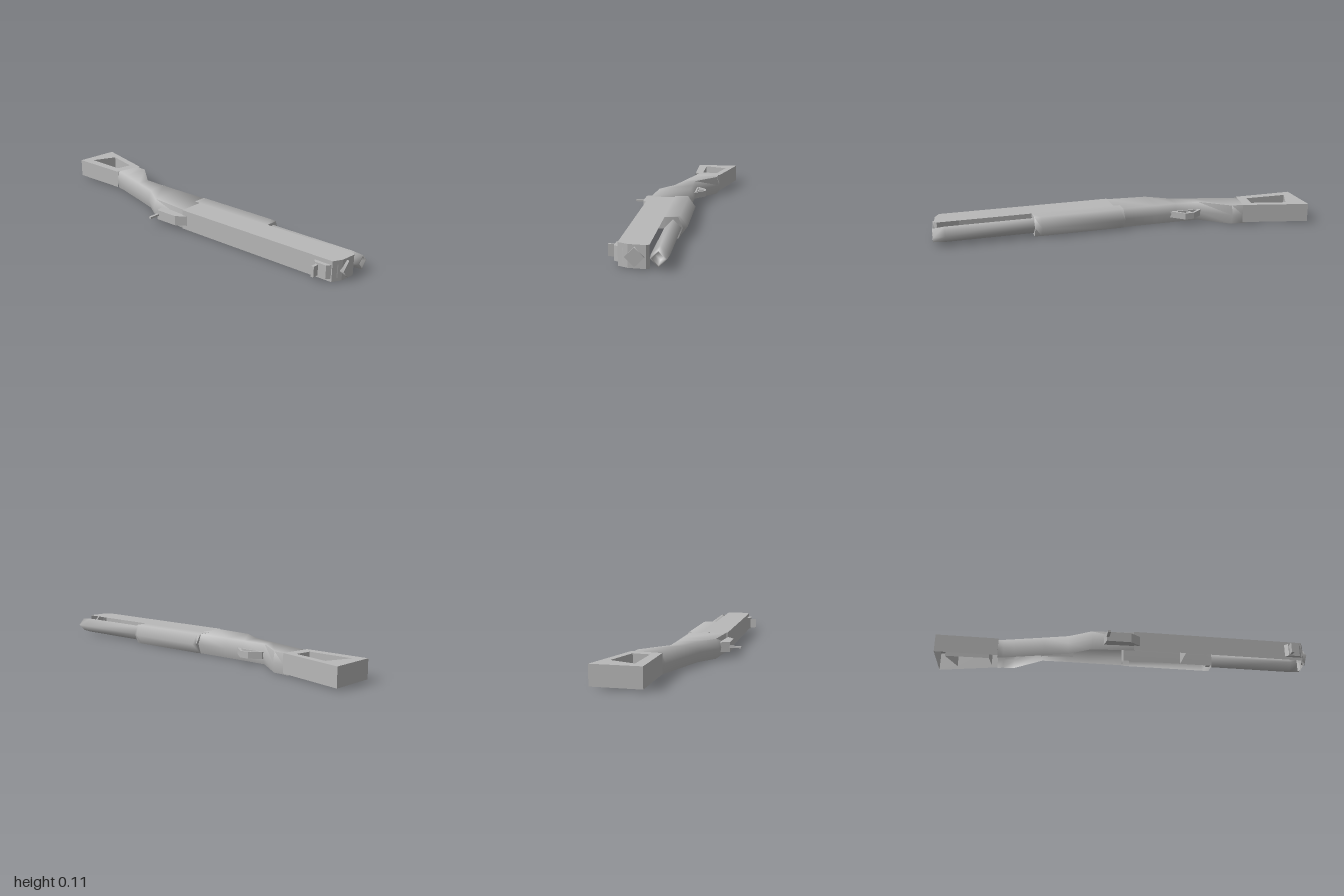
import * as THREE from 'three';
import { toCreasedNormals } from 'three/addons/utils/BufferGeometryUtils.js';

const MID = 0.055; // height of the centre plane: the gun lies on its side

export function createModel() {
  const grey = new THREE.MeshStandardMaterial({ color: 0xb8b8b8, side: THREE.DoubleSide });
  grey.name = 'plain grey';
  const group = new THREE.Group();

  const add = (name, geometry) => {
    const mesh = new THREE.Mesh(geometry, grey);
    mesh.name = name;
    group.add(mesh);
    return mesh;
  };

  const makeShape = (outline, hole) => {
    const flip = pts => pts.map(([x, z]) => new THREE.Vector2(x, -z));
    const shape = new THREE.Shape(flip(outline));
    if (hole) shape.holes.push(new THREE.Path(flip(hole)));
    return shape;
  };

  // Solid outline in x,z raised from y0 to y1
  const plate = (outline, y0, y1, hole) =>
    new THREE.ExtrudeGeometry(makeShape(outline, hole), { depth: y1 - y0, bevelEnabled: false })
      .rotateX(-Math.PI / 2).translate(0, y0, 0);

  // Flat sheet at height y
  const sheet = (outline, y, hole) =>
    new THREE.ShapeGeometry(makeShape(outline, hole)).rotateX(-Math.PI / 2).translate(0, y, 0);

  // Upright walls along a path in x,z
  const walls = (path, y0, y1) => {
    const pos = [];
    for (let i = 0; i < path.length - 1; i++) {
      const [ax, az] = path[i], [bx, bz] = path[i + 1];
      pos.push(ax, y0, az, ax, y1, az, bx, y1, bz, ax, y0, az, bx, y1, bz, bx, y0, bz);
    }
    const g = new THREE.BufferGeometry();
    g.setAttribute('position', new THREE.Float32BufferAttribute(pos, 3));
    g.computeVertexNormals();
    return g;
  };

  // Six-sided sections along x, open underneath;
  // each station is x, low z, high z, low bevel, high bevel
  const loft = (stations, top, capped) => {
    const bottom = 0.003, pos = [], index = [];
    for (const [x, a, b, ba, bb] of stations) {
      pos.push(x, MID, a, x, top, a + ba, x, top, b - bb,
        x, MID, b, x, bottom, b - bb, x, bottom, a + ba);
    }
    const last = (stations.length - 1) * 6;
    for (let s = 0; s < last; s += 6) {
      for (const j of [0, 1, 2, 3, 5]) {
        const k = (j + 1) % 6;
        index.push(s + j, s + k, s + 6 + k, s + j, s + 6 + k, s + 6 + j);
      }
    }
    for (let j = 1; capped && j < 5; j++) {
      index.push(0, j + 1, j, last, last + j, last + j + 1);
    }
    const g = new THREE.BufferGeometry();
    g.setAttribute('position', new THREE.Float32BufferAttribute(pos, 3));
    g.setIndex(index);
    return toCreasedNormals(g, 1.35);
  };

  // Skeleton butt with its opening, hollow underneath
  const butt = [[-0.987, -0.265], [-0.64, -0.176], [-0.67, -0.022], [-1, -0.022]];
  const buttHole = [[-0.885, -0.2], [-0.7, -0.153], [-0.715, -0.067], [-0.945, -0.072]];
  add('buttTop', sheet(butt, 0.109, buttHole));
  add('buttWalls', walls([...butt.slice(2), ...butt.slice(0, 2)], 0.011, 0.109));
  add('buttOpening', walls([...buttHole, buttHole[0]], 0.011, 0.109));

  // Grip flowing into the receiver
  add('gripAndReceiver', loft([
    [-0.67, -0.182, -0.021, 0.01, 0.012],
    [-0.64, -0.176, -0.015, 0.01, 0.015],
    [-0.58, -0.174, 0.003, 0.012, 0.016],
    [-0.43, -0.058, 0.045, 0.018, 0.016],
    [-0.3, -0.055, 0.083, 0.018, 0.016],
    [-0.185, -0.055, 0.157, 0.018, 0.016],
    [0.04, -0.055, 0.163, 0.018, 0.004],
  ], 0.107, false));

  // Sliding fore-end
  add('foreEnd', loft([
    [0, -0.075, 0.03, 0.035, 0.001],
    [0.02, -0.082, 0.03, 0.038, 0.001],
    [0.45, -0.082, 0.03, 0.038, 0.001],
    [0.485, -0.062, 0.03, 0.022, 0.001],
  ], 0.1075, true));

  // Long upper housing: a shell open underneath and along its low side
  const housing = [[0.975, 0.026], [0.985, 0.04], [0.975, 0.12], [0.95, 0.166], [0.035, 0.166], [0.035, 0.026]];
  add('housingTop', sheet(housing, 0.108));
  add('housingWalls', walls(housing.slice(0, 5), 0.004, 0.108));
  add('housingBulkhead', walls([[0.31, 0.026], [0.31, 0.166]], 0.004, 0.108));

  const muzzle = add('muzzlePlug', new THREE.CylinderGeometry(0.043, 0.043, 0.02, 4));
  muzzle.rotation.z = -Math.PI / 2;
  muzzle.position.set(0.98, MID, 0.09);

  // Four-sided hollow lower tube
  const profile = [[0.041, 0.46], [0.041, 0.94], [0.036, 1], [0.028, 1], [0.026, 0.93], [0, 0.93]]
    .map(([r, y]) => new THREE.Vector2(r, y));
  const tube = add('lowerTube', toCreasedNormals(new THREE.LatheGeometry(profile, 4), 1.62));
  tube.rotation.z = -Math.PI / 2;
  tube.position.set(0, MID, -0.014);

  // Trigger guard and trigger
  add('triggerGuard', plate(
    [[-0.44, -0.05], [-0.435, -0.068], [-0.38, -0.11], [-0.33, -0.11], [-0.265, -0.05]], 0.036, 0.07,
    [[-0.42, -0.06], [-0.375, -0.1], [-0.335, -0.1], [-0.295, -0.06]]));
  add('trigger', plate(
    [[-0.375, -0.05], [-0.38, -0.085], [-0.37, -0.095], [-0.35, -0.05]], 0.044, 0.064));

  // Rear sight
  add('rearSightBase', plate(
    [[-0.125, 0.15], [-0.112, 0.203], [0.015, 0.203], [0.075, 0.16]], 0.028, 0.08));
  add('rearSightPost', plate(
    [[-0.115, 0.2], [-0.115, 0.262], [-0.1, 0.262], [-0.1, 0.2]], 0.05, 0.06));

  // Front sight
  add('frontSightBase', plate(
    [[0.85, 0.16], [0.87, 0.186], [0.93, 0.186], [0.965, 0.14]], 0.02, 0.088));
  add('frontSightPost', plate(
    [[0.874, 0.18], [0.874, 0.22], [0.888, 0.22], [0.888, 0.18]], 0.026, 0.08));

  return group;
}
